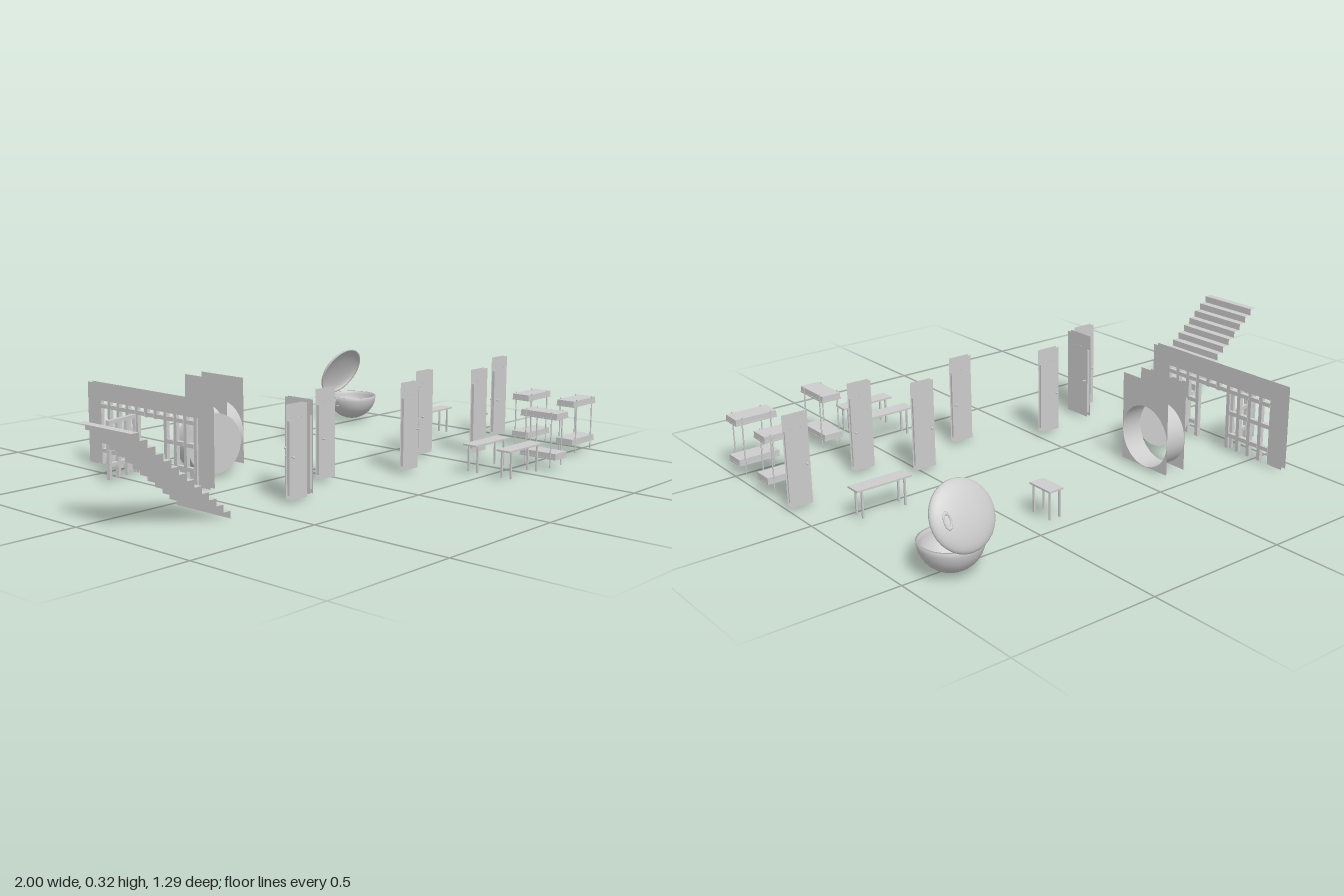
import * as THREE from 'three';

const grey = new THREE.MeshStandardMaterial({ color: 0xcccccc, side: THREE.DoubleSide });

function add(parent, name, geo, x = 0, y = 0, z = 0) {
  const m = new THREE.Mesh(geo, grey);
  m.name = name;
  m.position.set(x, y, z);
  parent.add(m);
  return m;
}
const box = (p, name, w, h, d, x, y, z) => add(p, name, new THREE.BoxGeometry(w, h, d), x, y, z);

function part(parent, name, x = 0, y = 0, z = 0, turn = 0) {
  const g = new THREE.Group();
  g.name = name;
  g.position.set(x, y, z);
  g.rotation.y = turn;
  parent.add(g);
  return g;
}

function rectShape(x0, y0, x1, y1) {
  return new THREE.Shape([[x0, y0], [x1, y0], [x1, y1], [x0, y1]].map(p => new THREE.Vector2(...p)));
}

// Folded sheet of treads and risers, climbing towards -x
function stairs(root) {
  const g = part(root, 'stairs', 0, 0, 0.143), n = 13, run = 0.38 / n, rise = 0.318 / n;
  for (let i = 0; i < n; i++) {
    const x = -0.62 - i * run;
    add(g, 'riser', new THREE.PlaneGeometry(0.245, rise), x, (i + 0.5) * rise, 0).rotation.y = Math.PI / 2;
    add(g, 'tread', new THREE.PlaneGeometry(run, 0.245), x - run / 2, (i + 1) * rise, 0).rotation.x = -Math.PI / 2;
  }
}

// Leaf between two thin sheets, with a knob on both sides
function door(root, x, z, width, knobX, turn = 0) {
  const g = part(root, 'door', x, 0, z, turn);
  box(g, 'doorLeaf', width - 0.008, 0.24, 0.013, 0, 0.145, 0);
  for (const s of [-1, 1]) {
    add(g, 'doorSheet', new THREE.PlaneGeometry(width, 0.308), 0, 0.164, s * 0.0075);
    add(g, 'knob', new THREE.SphereGeometry(0.004, 10, 8), knobX, 0.15, s * 0.017);
    for (const i of [-1, 0, 1]) box(g, 'rivet', 0.005, 0.004, 0.002, i * 0.018, 0.275, s * 0.008);
  }
  add(g, 'knobRod', new THREE.CylinderGeometry(0.002, 0.002, 0.034, 8), knobX, 0.15, 0).rotation.x = Math.PI / 2;
}

// Wall of two sheets around a barred opening with a gate standing open
function barredWall(root) {
  const g = part(root, 'barredWall', -0.43, 0, 0);
  const sheet = rectShape(0.017, 0.01, 0.645, 0.3);
  sheet.holes.push(rectShape(0.072, 0.0101, 0.592, 0.24));
  for (const s of [-1, 1])
    add(g, 'wallSheet', new THREE.ShapeGeometry(sheet), s * 0.01, 0, 0).rotation.y = Math.PI / 2;
  const pitch = 0.0505, first = -0.09, rows = [0.06, 0.142, 0.22];
  for (let i = 0; i <= 10; i++) {
    const z = first - i * pitch * 0.98;
    const overGate = i > 3 && i < 6;
    const low = overGate ? 0.21 : 0.01;
    box(g, 'upright', 0.014, 0.24 - low, 0.014, 0, (0.24 + low) / 2, z);
    if (i === 10) continue;
    for (const y of rows)
      if (y > 0.2 || i < 3 || i > 5) box(g, 'crossbar', 0.016, 0.014, 0.037, 0, y, z - pitch / 2);
  }
  const gate = part(g, 'gate', 0, 0, -0.397, 0.19);
  for (let i = 0; i < 4; i++) box(gate, 'gateUpright', 0.012, 0.2, 0.013, -0.007 - i * 0.0465, 0.11, 0);
  for (const y of [0.06, 0.14, 0.207]) box(gate, 'gateCrossbar', 0.15, 0.013, 0.015, -0.077, y, 0);
}

// Round passage through two square sheets, and the round plug that closes it
function roundHatch(root) {
  const g = part(root, 'roundHatch', -0.13, 0, -0.325);
  const sheet = rectShape(-0.108, 0.01, 0.108, 0.318);
  const hole = new THREE.Path();
  hole.absarc(0, 0.118, 0.107, 0, Math.PI * 2, true);
  sheet.holes.push(hole);
  for (const s of [-1, 1])
    add(g, 'hatchSheet', new THREE.ShapeGeometry(sheet, 24), s * 0.04, 0, 0).rotation.y = Math.PI / 2;
  const tube = new THREE.CylinderGeometry(0.107, 0.107, 0.08, 48, 1, true);
  add(g, 'passage', tube, 0, 0.118, 0).rotation.z = Math.PI / 2;
  const plugGroup = part(root, 'plug', -0.276, 0.118, -0.198, -0.183);
  add(plugGroup, 'plugBody', new THREE.CylinderGeometry(0.106, 0.106, 0.08, 48)).rotation.x = Math.PI / 2;
}

// Bowl with a shallow domed lid tipped back
function dome(r, h, wall, sign) {
  const pts = [], n = 10;
  for (let i = 0; i <= n; i++) {
    const a = i / n * Math.PI / 2;
    pts.push(new THREE.Vector2(r * Math.sin(a), sign * h * Math.cos(a)));
  }
  for (let i = n; i >= 0; i--) {
    const a = i / n * Math.PI / 2;
    pts.push(new THREE.Vector2((r - wall) * Math.sin(a), sign * (h - wall) * Math.cos(a)));
  }
  return new THREE.LatheGeometry(pts, 32);
}
function pod(root) {
  const g = part(root, 'pod', 0.843, 0.105, -0.52);
  add(g, 'bowl', dome(0.1, 0.097, 0.007, -1));
  add(g, 'bowlHandle', new THREE.TorusGeometry(0.016, 0.002, 8, 20), -0.102, -0.018, 0.01);
  const lid = part(g, 'lid', 0, 0.092, -0.059);
  lid.rotation.x = -1.107;
  add(lid, 'lidShell', dome(0.108, 0.032, 0.006, 1));
  const handle = add(lid, 'lidHandle', new THREE.TorusGeometry(0.011, 0.003, 8, 20), 0.065, 0.027, 0);
  handle.rotation.x = Math.PI / 2;
  handle.scale.y = 2;
}

// Thin top on four legs, long side on x
function bench(root, name, x, z, w, d) {
  const g = part(root, name, x, 0, z);
  box(g, 'top', w, 0.006, d, 0, 0.106, 0);
  const insetX = w > 0.1 ? 0.022 : 0.008, insetZ = d > 0.08 ? 0.01 : 0.009;
  for (const sx of [-1, 1]) for (const sz of [-1, 1])
    box(g, 'leg', 0.006, 0.095, 0.006, sx * (w / 2 - insetX), 0.057, sz * (d / 2 - insetZ));
}

// Two mattresses on four thin posts, long side on x
function bunk(root, x, z, turn = 0) {
  const g = part(root, 'bunk', x, 0, z, turn);
  for (const y of [0.052, 0.194]) {
    box(g, 'mattress', 0.148, 0.02, 0.07, 0, y, 0);
    box(g, 'bedBoard', 0.15, 0.005, 0.073, 0, y - 0.01, 0);
  }
  for (const sx of [-1, 1]) for (const sz of [-1, 1])
    add(g, 'post', new THREE.CylinderGeometry(0.0025, 0.0025, 0.198, 8), sx * 0.052, 0.109, sz * 0.0345);
}

export function createModel() {
  const root = new THREE.Group();
  root.name = 'roomFurnishings';
  stairs(root);
  for (const x of [-0.33, 0.24, 0.648]) door(root, x, 0.267, 0.081, x < 0 ? -0.03 : 0.03);
  for (const x of [-0.055, 0.485, 0.957]) door(root, x, 0.141, 0.081, -0.025);
  door(root, -0.255, 0.207, 0.11, 0.045, Math.PI / 2);
  barredWall(root);
  roundHatch(root);
  pod(root);
  bench(root, 'bench', 0.435, 0.457, 0.2, 0.055);
  bench(root, 'bench', 0.435, 0.595, 0.2, 0.055);
  bench(root, 'bench', 0.78, -0.052, 0.2, 0.055);
  bench(root, 'stool', 0.403, -0.41, 0.055, 0.098);
  bunk(root, 0.918, 0.32);
  bunk(root, 0.918, 0.515);
  bunk(root, 0.625, 0.567, Math.PI / 2);
  return root;
}
